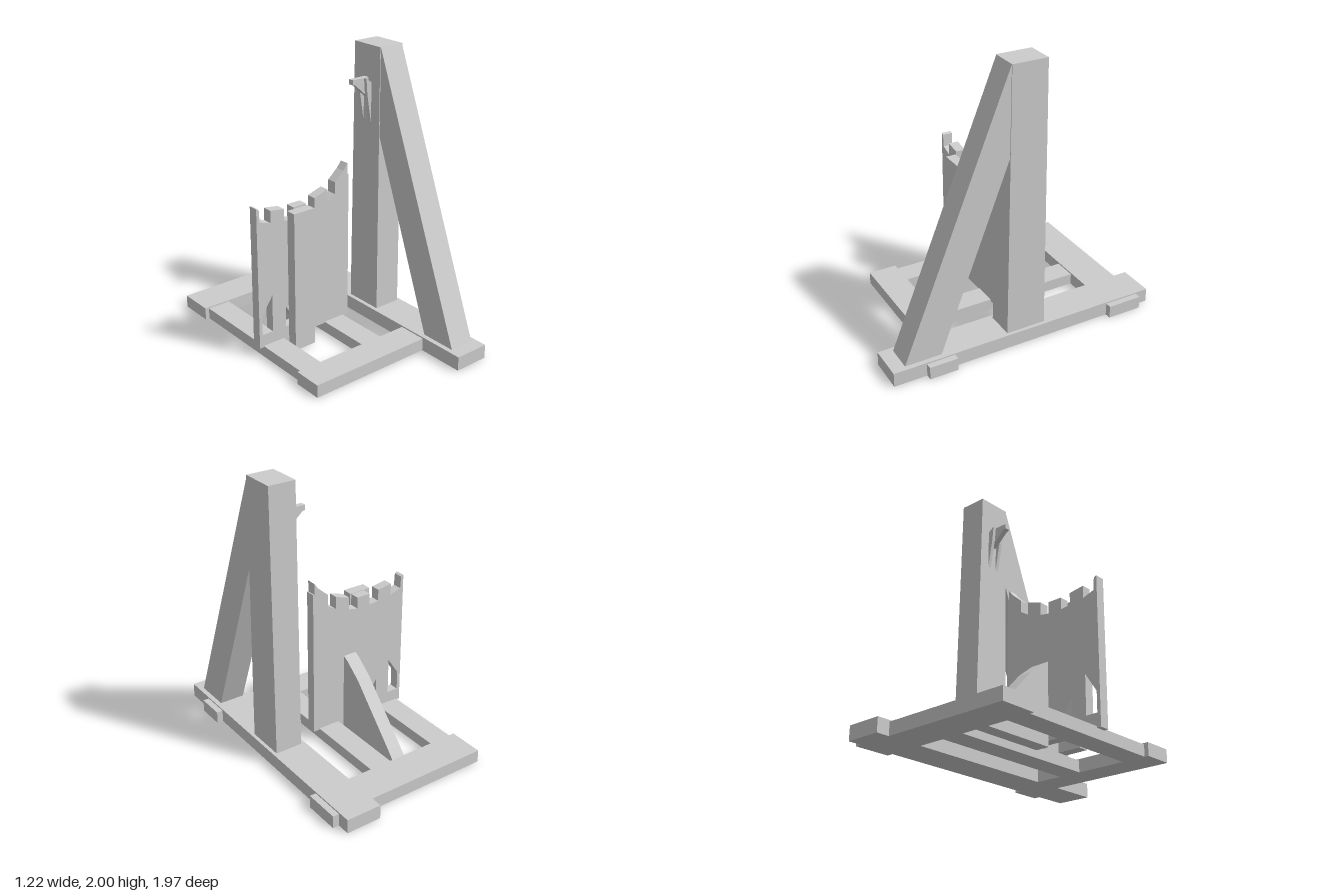
import * as THREE from 'three';

export function createModel() {
  const group = new THREE.Group();
  const stone = new THREE.MeshStandardMaterial({ color: 0xcccccc });
  stone.name = 'plainGrey';

  const add = (name, geometry) => {
    const mesh = new THREE.Mesh(geometry, stone);
    mesh.name = name;
    group.add(mesh);
    return mesh;
  };
  // box given by its limits on each axis
  const block = (name, [x0, x1], [y0, y1], [z0, z1]) =>
    add(name, new THREE.BoxGeometry(x1 - x0, y1 - y0, z1 - z0)
      .translate((x0 + x1) / 2, (y0 + y1) / 2, (z0 + z1) / 2));
  const outline = (pts) => new THREE.Shape(pts.map(([a, b]) => new THREE.Vector2(a, b)));
  const extrude = (shape, depth) => new THREE.ExtrudeGeometry(shape, { depth, bevelEnabled: false });
  // x-y profile, extruded from z0 to z1
  const plate = (name, shape, z0, z1) => add(name, extrude(shape, z1 - z0).translate(0, 0, z0));
  // z-y profile, extruded from x0 to x1
  const sidePlate = (name, pts, x0, x1) =>
    add(name, extrude(outline(pts), x1 - x0).rotateY(-Math.PI / 2).translate(x1, 0, 0));

  // base frame
  block('mainBeam', [0.305, 0.56], [0, 0.1], [-0.985, 0.985]);
  block('backCrossBeam', [-0.61, 0.605], [0, 0.09], [-0.893, -0.64]);
  block('frontCrossBeam', [-0.61, 0.305], [0, 0.09], [0.445, 0.65]);
  block('frontBeamEnd', [0.56, 0.605], [0, 0.09], [0.55, 0.753]);
  for (const [x0, x1] of [[-0.58, -0.41], [-0.055, 0.11]])
    block('baseSlat', [x0, x1], [0, 0.08], [-0.64, 0.445]);

  // tall post, slightly wider at its foot
  const post = new THREE.BoxGeometry(0.195, 1.9, 0.25).translate(0.4325, 1.05, 0.004);
  const p = post.attributes.position;
  for (let i = 0; i < p.count; i++) {
    if (p.getY(i) > 1) continue;
    p.setZ(i, p.getZ(i) > 0 ? 0.145 : -0.14);
    if (p.getX(i) > 0.43) p.setX(i, 0.535);
  }
  post.computeVertexNormals();
  add('post', post);

  // long sloping brace in front of the post
  sidePlate('postBrace', [[0.129, 2], [0.13, 1.4], [0.63, 0.1], [0.89, 0.1]], 0.34, 0.525);

  // small bracket near the top of the post
  plate('bracketArm', outline([[0.2, 1.78], [0.2, 1.745], [0.22, 1.74], [0.3, 1.67],
    [0.335, 1.64], [0.335, 1.78]]), -0.02, 0.02);
  for (const z of [-0.05, 0.025])
    plate('bracketLeg', outline([[0.29, 1.78], [0.3, 1.67], [0.335, 1.47], [0.335, 1.75]]), z, z + 0.025);

  // battlemented wall with two slanted windows
  const wall = outline([
    [-0.61, 0.07], [0.155, 0.07], [0.155, 1.14], [0.145, 1.14],
    [0.145, 1.22], [0.11, 1.175], [0.035, 1.11], [0.035, 1.025],
    [-0.03, 0.985], [-0.03, 1.075], [-0.14, 1.04], [-0.14, 0.95],
    [-0.21, 0.937], [-0.21, 1.02], [-0.315, 1.02], [-0.315, 0.935],
    [-0.39, 0.945], [-0.39, 1.028], [-0.5, 1.045], [-0.5, 0.958],
    [-0.585, 0.987], [-0.59, 1.075], [-0.61, 1.083],
  ]);
  wall.holes.push(
    outline([[-0.585, 0.165], [-0.585, 0.305], [-0.5, 0.435], [-0.5, 0.165]]),
    outline([[-0.39, 0.165], [-0.39, 0.315], [-0.315, 0.2], [-0.315, 0.165]]),
  );
  plate('wall', wall, -0.035, 0.035);

  // flat buttress in front of the wall, prop behind it
  block('frontButtress', [-0.375, -0.21], [0.01, 1.015], [0.048, 0.122]);
  sidePlate('wallProp', [[-0.035, 0.03], [-0.035, 0.6], [-0.08, 0.575], [-0.2, 0.48],
    [-0.555, 0.1], [-0.615, 0.03]], -0.2, -0.1);

  return group;
}
